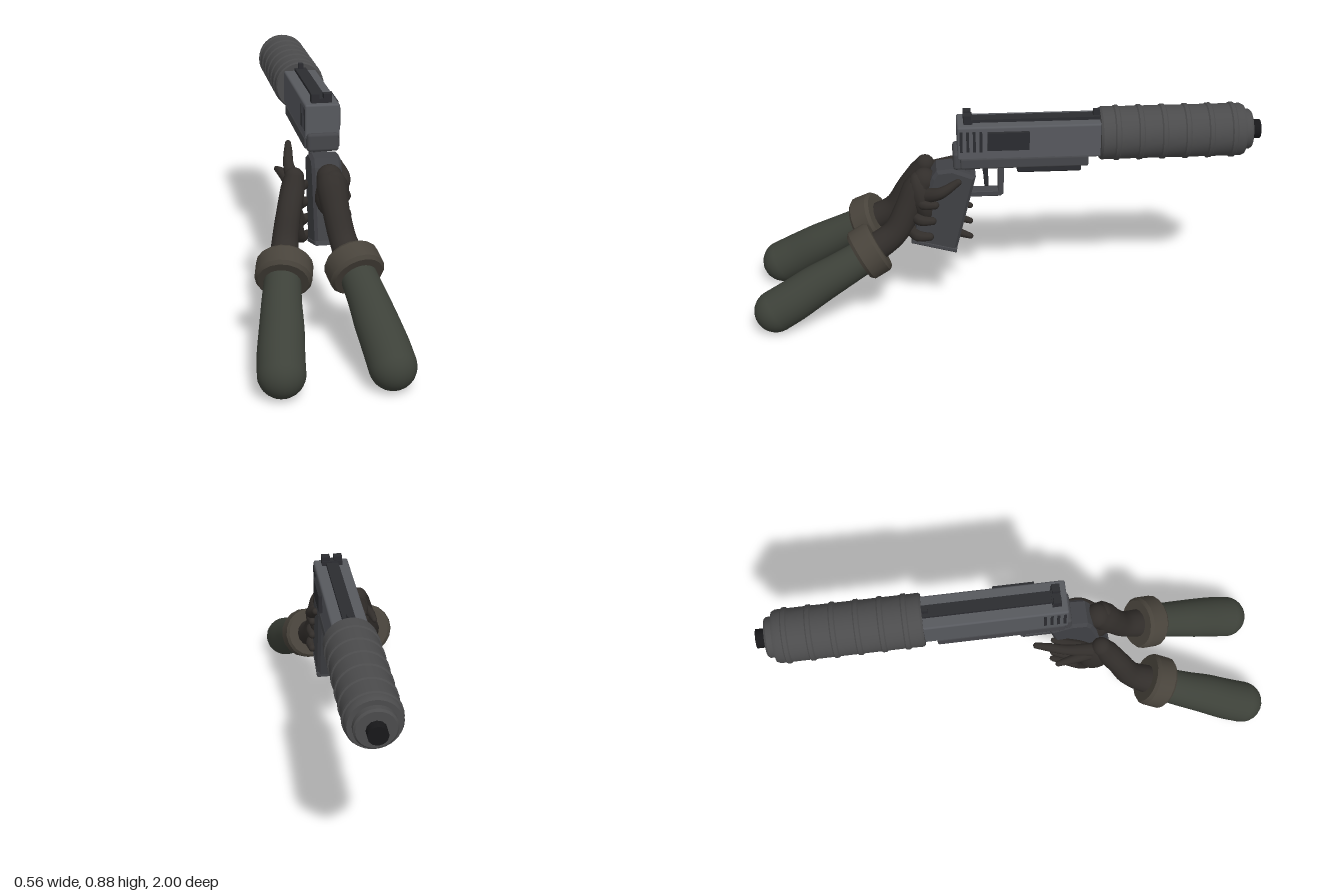
import * as THREE from 'three';
import { RoundedBoxGeometry } from 'three/addons/geometries/RoundedBoxGeometry.js';
import { mergeGeometries, toCreasedNormals } from 'three/addons/utils/BufferGeometryUtils.js';

const mat = (color) => new THREE.MeshStandardMaterial({ color });
const M = {
  slide: mat(0x57595e), frame: mat(0x45464a), dark: mat(0x2b2c30), can: mat(0x4b4b4c),
  grip: mat(0x404145), skin: mat(0x322e2b), sleeve: mat(0x3d4139), cuff: mat(0x48433b), black: mat(0x18181a),
};
const CX = 0.072; // centre plane of the pistol
const CY = 0.77; // bore height

function add(parent, name, geo, material) {
  const mesh = new THREE.Mesh(geo, material);
  mesh.name = name;
  parent.add(mesh);
  return mesh;
}

// Box given by its limits on each axis
function block(parent, name, [x0, x1], [y0, y1], [z0, z1], material, round = 0) {
  const size = [x1 - x0, y1 - y0, z1 - z0];
  const geo = round ? new RoundedBoxGeometry(...size, 2, round) : new THREE.BoxGeometry(...size);
  geo.translate((x0 + x1) / 2, (y0 + y1) / 2, (z0 + z1) / 2);
  return add(parent, name, geo, material);
}

// Side outline of [z, y] points, extruded across x and centred on the pistol
function sideProfile(parent, name, points, width, material, bevel = 0.008, hole) {
  const shape = new THREE.Shape(points.map((p) => new THREE.Vector2(...p)));
  if (hole) shape.holes.push(new THREE.Path(hole.map((p) => new THREE.Vector2(...p))));
  const depth = width - 2 * bevel;
  const geo = new THREE.ExtrudeGeometry(shape, {
    depth, bevelEnabled: bevel > 0, bevelSize: bevel, bevelOffset: -bevel, bevelThickness: bevel, bevelSegments: 1,
  });
  geo.rotateY(-Math.PI / 2).translate(CX + depth / 2, 0, 0);
  return add(parent, name, geo, material);
}

// Tapered round limb through points [x, y, z, radius], with round ends
function limb(parent, name, pts, material, sides = 10, steps = 12) {
  const curve = new THREE.CatmullRomCurve3(pts.map((p) => new THREE.Vector3(p[0], p[1], p[2])));
  const geo = new THREE.TubeGeometry(curve, steps, 1, sides);
  const pos = geo.attributes.position;
  const v = new THREE.Vector3();
  for (let i = 0; i <= steps; i++) {
    const centre = curve.getPointAt(i / steps);
    const u = curve.getUtoTmapping(i / steps) * (pts.length - 1);
    const k = Math.min(Math.floor(u), pts.length - 2);
    const r = THREE.MathUtils.lerp(pts[k][3], pts[k + 1][3], u - k);
    for (let j = 0; j <= sides; j++) {
      const n = i * (sides + 1) + j;
      v.fromBufferAttribute(pos, n).sub(centre).multiplyScalar(r).add(centre);
      pos.setXYZ(n, v.x, v.y, v.z);
    }
  }
  const caps = [pts[0], pts[pts.length - 1]].map((p) =>
    new THREE.SphereGeometry(p[3], sides, Math.ceil(sides * 0.7)).translate(p[0], p[1], p[2]));
  return add(parent, name, mergeGeometries([geo, ...caps]), material);
}

function buildPistol() {
  const g = new THREE.Group();
  g.name = 'pistol';

  // Slide, top rail and sights
  block(g, 'slide', [0.004, 0.14], [0.7, 0.838], [-0.4, 0.18], M.slide, 0.008);
  block(g, 'topRail', [0.048, 0.096], [0.83, 0.85], [-0.37, 0.14], M.dark);
  block(g, 'rearSightBase', [0.032, 0.112], [0.835, 0.855], [0.12, 0.155], M.dark);
  for (const [a, b] of [[0.032, 0.064], [0.08, 0.112]])
    block(g, 'rearSightPost', [a, b], [0.85, 0.873], [0.125, 0.155], M.dark);
  block(g, 'frontSight', [0.062, 0.082], [0.845, 0.872], [-0.37, -0.345], M.dark);
  block(g, 'ejectionPort', [0.13, 0.154], [0.745, 0.818], [-0.095, 0.065], M.dark);
  for (let i = 0; i < 4; i++) {
    const z = 0.085 + i * 0.025;
    block(g, 'serration', [0.002, 0.142], [0.735, 0.82], [z, z + 0.011], M.dark);
  }

  // Frame, under rail and trigger group
  block(g, 'frame', [0.002, 0.142], [0.662, 0.708], [-0.325, 0.17], M.frame, 0.008);
  block(g, 'frameTail', [0.01, 0.134], [0.655, 0.727], [0.1, 0.197], M.frame, 0.012);
  block(g, 'underRail', [0.022, 0.122], [0.632, 0.67], [-0.3, -0.05], M.dark, 0.008);
  sideProfile(g, 'triggerGuard',
    [[0.0, 0.67], [0.0, 0.532], [0.012, 0.52], [0.15, 0.52], [0.15, 0.67]], 0.05, M.frame, 0.003,
    [[0.022, 0.652], [0.13, 0.652], [0.13, 0.543], [0.022, 0.543]]);
  sideProfile(g, 'trigger', [[0.06, 0.67], [0.09, 0.67], [0.08, 0.62], [0.075, 0.56], [0.06, 0.56]], 0.03, M.dark, 0.003);

  // Raked grip with base plate
  sideProfile(g, 'grip',
    [[0.11, 0.62], [0.2, 0.656], [0.262, 0.65], [0.282, 0.62], [0.365, 0.34], [0.19, 0.293]], 0.116, M.grip, 0.012);
  sideProfile(g, 'gripBase', [[0.187, 0.308], [0.362, 0.355], [0.368, 0.338], [0.19, 0.288]], 0.12, M.frame, 0.004);

  // Ribbed suppressor, stepped cap and muzzle
  const profile = [[0, -0.37], [0.098, -0.37], [0.103, -0.378]];
  for (let i = 0; i < 6; i++) {
    const z = -0.435 - i * 0.09;
    profile.push([0.102, z + 0.012], [0.107, z + 0.007], [0.107, z - 0.007], [0.102, z - 0.012]);
  }
  profile.push([0.102, -0.92], [0.096, -0.932], [0.078, -0.932], [0.078, -0.955], [0.071, -0.963], [0, -0.963]);
  const can = new THREE.LatheGeometry(profile.map(([r, z]) => new THREE.Vector2(r, -z)), 32);
  can.rotateX(-Math.PI / 2).translate(CX, CY, 0);
  add(g, 'suppressor', toCreasedNormals(can, 0.5), M.can);
  const tip = new THREE.CylinderGeometry(0.037, 0.037, 0.05, 12).rotateX(Math.PI / 2).translate(CX, CY, -0.975);
  add(g, 'muzzle', tip, M.black);
  return g;
}

// Sleeve and turned cuff; s is the side
function buildSleeve(g, s) {
  limb(g, 'sleeve', [
    [0.196 * s, 0.088, 0.913, 0.086], [0.187 * s, 0.13, 0.84, 0.085], [0.171 * s, 0.185, 0.75, 0.081],
    [0.158 * s, 0.235, 0.66, 0.074], [0.14 * s, 0.29, 0.56, 0.068],
  ], M.sleeve, 24, 20);
  const ring = [[0.06, -0.047], [0.094, -0.047], [0.106, -0.034], [0.106, 0.034], [0.096, 0.047], [0.055, 0.047], [0.06, -0.047]];
  const geo = toCreasedNormals(new THREE.LatheGeometry(ring.map((p) => new THREE.Vector2(...p)), 18), 0.6);
  const axis = new THREE.Vector3(-0.2 * s, 0.45, -0.87).normalize();
  const cuff = add(g, 'cuff', geo, M.cuff);
  cuff.quaternion.setFromUnitVectors(new THREE.Vector3(0, 1, 0), axis);
  cuff.position.set(0.131 * s, 0.31, 0.535);
}

// Palm as a stretched ball
function palm(g, at, size, tilt) {
  const mesh = add(g, 'palm', new THREE.SphereGeometry(1, 14, 10), M.skin);
  mesh.scale.set(...size);
  mesh.position.set(...at);
  mesh.rotation.x = tilt;
}

function buildRightArm() {
  const g = new THREE.Group();
  g.name = 'rightArm';
  buildSleeve(g, 1);
  limb(g, 'wristAndHand', [
    [0.13, 0.31, 0.53, 0.06], [0.108, 0.38, 0.43, 0.052], [0.09, 0.48, 0.375, 0.052],
    [0.08, 0.56, 0.335, 0.06], [0.076, 0.59, 0.31, 0.05],
  ], M.skin, 14, 16);
  palm(g, [0.085, 0.52, 0.32], [0.066, 0.11, 0.05], 0.25);
  // Thumb along the near side of the grip
  limb(g, 'thumb', [[0.11, 0.54, 0.31, 0.034], [0.145, 0.565, 0.25, 0.024], [0.135, 0.605, 0.18, 0.014]], M.skin);
  // Fingers folded against the grip
  for (let i = 0; i < 3; i++) {
    const y = 0.51 - i * 0.07, z = 0.305 + i * 0.012;
    limb(g, 'finger', [
      [0.1, y + 0.01, z + 0.035, 0.024], [0.137, y + 0.005, z + 0.01, 0.023], [0.138, y, z - 0.035, 0.016],
    ], M.skin, 8, 8);
  }
  return g;
}

function buildLeftArm() {
  const g = new THREE.Group();
  g.name = 'leftArm';
  buildSleeve(g, -1);
  limb(g, 'wristAndHand', [
    [-0.13, 0.31, 0.53, 0.06], [-0.112, 0.38, 0.43, 0.05], [-0.09, 0.48, 0.375, 0.046],
    [-0.066, 0.56, 0.325, 0.046], [-0.058, 0.595, 0.305, 0.038],
  ], M.skin, 14, 16);
  palm(g, [-0.062, 0.52, 0.29], [0.042, 0.105, 0.066], 0.25);
  // Thumb pointing up along the frame
  limb(g, 'thumb', [[-0.06, 0.58, 0.27, 0.028], [-0.06, 0.61, 0.17, 0.02], [-0.05, 0.635, 0.1, 0.017], [-0.043, 0.652, 0.05, 0.012]], M.skin);
  limb(g, 'indexFinger', [[-0.065, 0.56, 0.27, 0.026], [-0.09, 0.58, 0.19, 0.018], [-0.1, 0.575, 0.13, 0.011]], M.skin);
  // Fingers reaching forward past the grip
  for (let i = 0; i < 4; i++) {
    const y = 0.525 - i * 0.07;
    limb(g, 'finger', [
      [-0.05, 0.53 - i * 0.035, 0.28, 0.025], [-0.022, y + 0.008, 0.235, 0.021],
      [0.002, y - 0.003, 0.18, 0.018], [0.022, y - 0.012, 0.13, 0.012],
    ], M.skin, 8, 10);
  }
  return g;
}

export function createModel() {
  const model = new THREE.Group();
  model.name = 'armsWithPistol';
  model.add(buildPistol(), buildRightArm(), buildLeftArm());
  return model;
}
